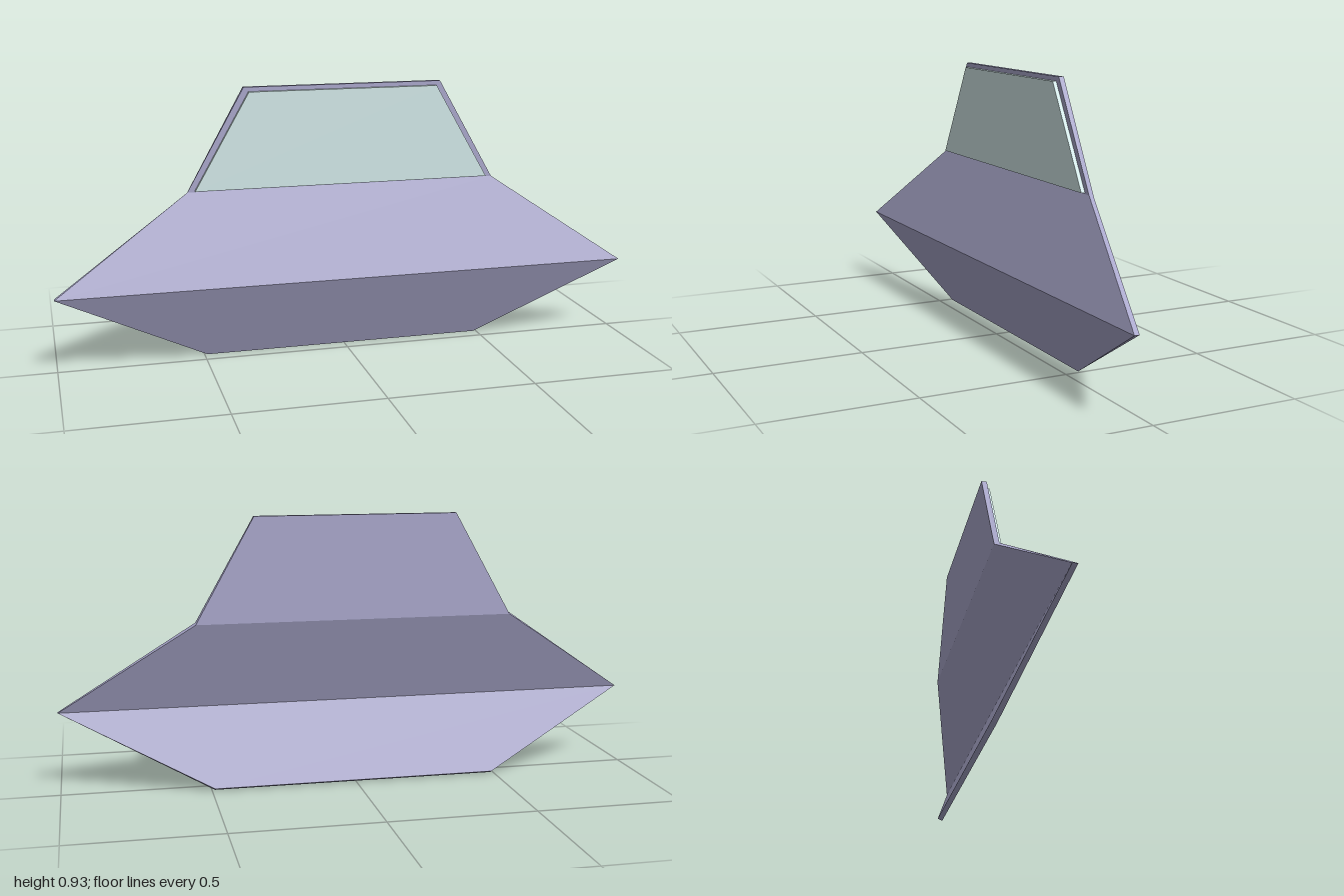
import * as THREE from 'three';

// Slab lofted through rows of [halfWidth, frontY, frontZ, backY, backZ], bottom to top
function loftSlab(rows) {
  const pos = [];
  const ring = ([w, fy, fz, by, bz]) => [[-w, fy, fz], [w, fy, fz], [w, by, bz], [-w, by, bz]];
  const quad = (a, b, c, d) => pos.push(...a, ...b, ...c, ...a, ...c, ...d);
  const rings = rows.map(ring);
  for (let i = 0; i < rings.length - 1; i++) {
    const lo = rings[i], hi = rings[i + 1];
    for (let k = 0; k < 4; k++) {
      const n = (k + 1) % 4;
      quad(lo[k], lo[n], hi[n], hi[k]);
    }
  }
  // End caps
  const b = rings[0], t = rings[rings.length - 1];
  quad(b[3], b[2], b[1], b[0]);
  quad(t[0], t[1], t[2], t[3]);
  const geo = new THREE.BufferGeometry();
  geo.setAttribute('position', new THREE.Float32BufferAttribute(pos, 3));
  geo.computeVertexNormals();
  return geo;
}

function part(name, rows, color) {
  const mesh = new THREE.Mesh(
    loftSlab(rows),
    new THREE.MeshStandardMaterial({ color, flatShading: true })
  );
  mesh.name = name;
  return mesh;
}

export function createModel() {
  const group = new THREE.Group();
  group.name = 'foldedPanel';

  // Folded sheet: lower flap, sloping middle and upright top
  group.add(part('panel', [
    [0.49, 0, -0.05, 0.008, -0.066],
    [1.0, 0.27, 0.068, 0.27, 0.051],
    [0.543, 0.578, -0.05, 0.572, -0.067],
    [0.345, 0.926, -0.05, 0.926, -0.068],
  ], 0xa9a7cb));

  // Pale window plate on the upright part
  group.add(part('window', [
    [0.518, 0.582, -0.037, 0.582, -0.051],
    [0.329, 0.911, -0.037, 0.911, -0.051],
  ], 0xd2e8e8));

  return group;
}
